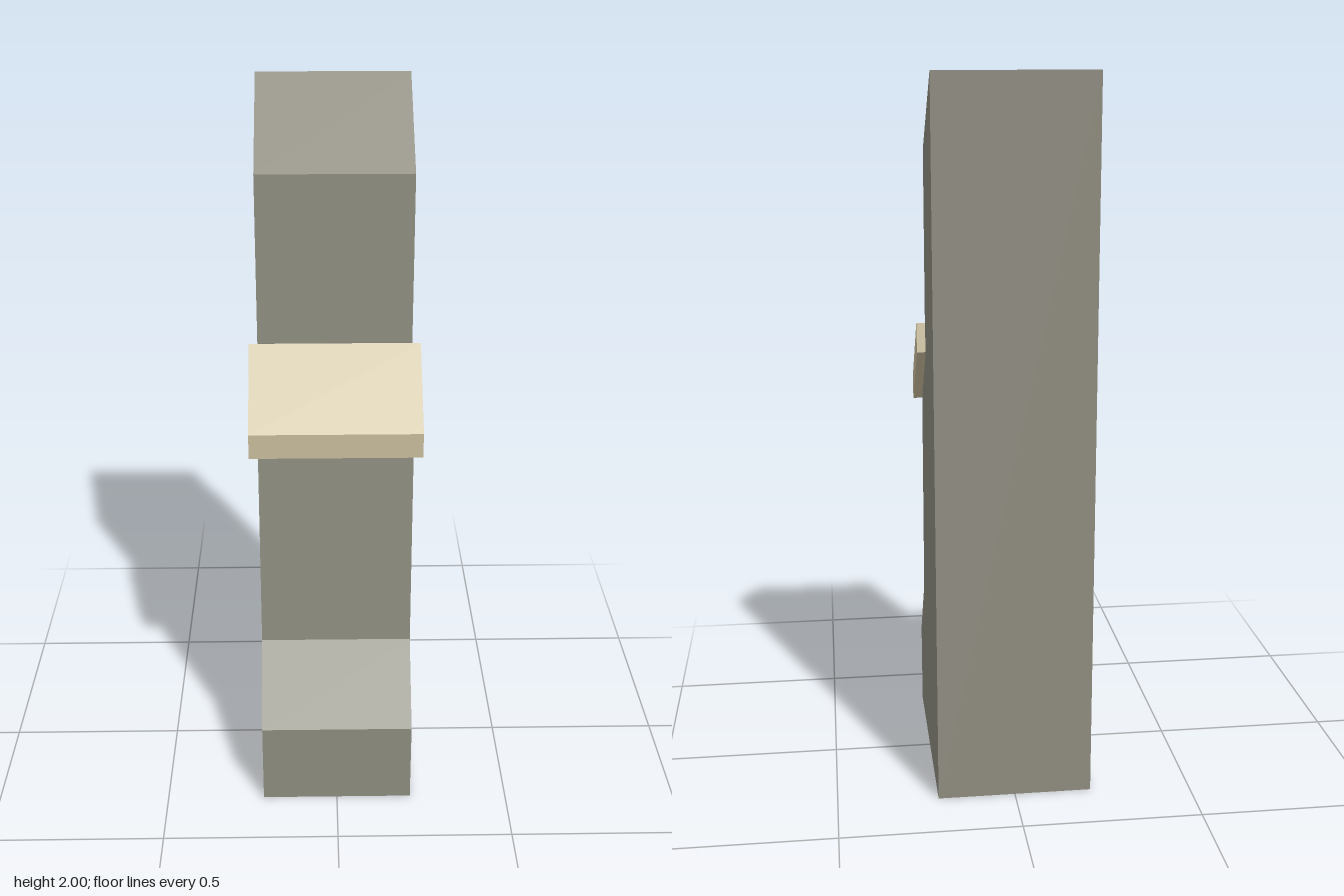
import * as THREE from 'three';

// Extrudes a side profile of [z, y] points across x, centred on x = 0
function profilePart(name, points, width, material) {
  const shape = new THREE.Shape(points.map(([z, y]) => new THREE.Vector2(z, y)));
  const geometry = new THREE.ExtrudeGeometry(shape, { depth: width, bevelEnabled: false });
  geometry.translate(0, 0, -width / 2);
  geometry.rotateY(-Math.PI / 2);
  const mesh = new THREE.Mesh(geometry, material);
  mesh.name = name;
  return mesh;
}

export function createModel() {
  const stone = new THREE.MeshStandardMaterial({ color: 0x8f8d80 });
  stone.name = 'grey stone';
  const capStone = new THREE.MeshStandardMaterial({ color: 0xcabe9e });
  capStone.name = 'pale stone';

  const model = new THREE.Group();
  model.name = 'buttress';

  // Stepped pier with a flat back and sloped set-offs at the front
  model.add(profilePart('pier', [
    [-0.325, 0], [0.325, 0], [0.325, 0.245], [0.165, 0.45], [0.125, 1.06],
    [-0.035, 1.215], [-0.03, 1.31], [-0.046, 1.787], [-0.325, 2],
  ], 0.434, stone));

  // Sloping weathering slab over the middle set-off
  model.add(profilePart('weatheringSlab', [
    [0.163, 1.045], [0.163, 1.117], [-0.03, 1.308], [-0.045, 1.228],
  ], 0.482, capStone));

  return model;
}
